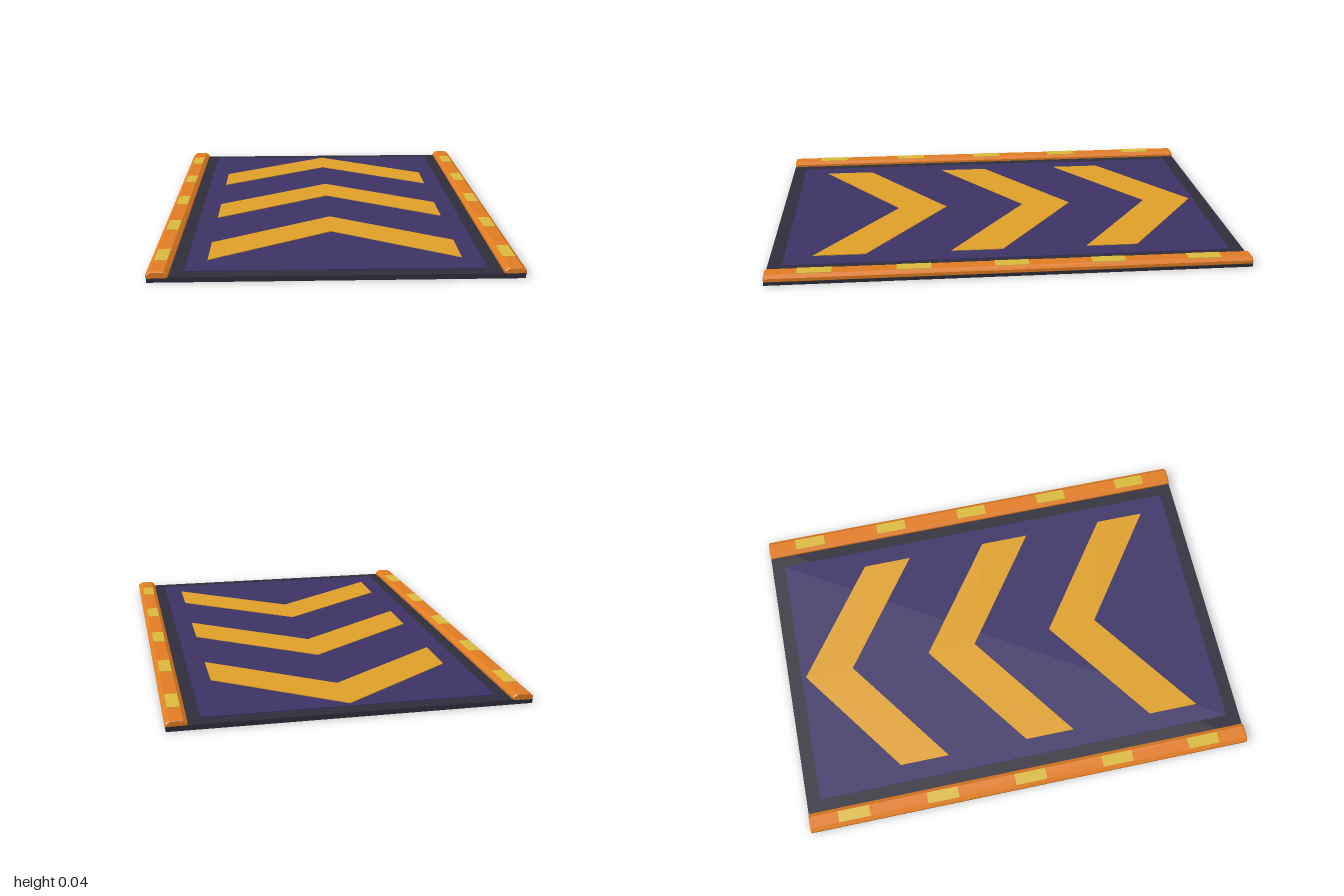
import * as THREE from 'three';

const mat = (color) => new THREE.MeshStandardMaterial({ color, flatShading: true });

export function createModel() {
  const group = new THREE.Group();
  const dark = mat(0x2f2d3a), purple = mat(0x3d3366), amber = mat(0xdd9f28);
  const orange = mat(0xe07c22), yellow = mat(0xd8b83c);

  const add = (name, geometry, material, x = 0, y = 0, z = 0) => {
    const mesh = new THREE.Mesh(geometry, material);
    mesh.name = name;
    mesh.position.set(x, y, z);
    group.add(mesh);
    return mesh;
  };
  const polygon = (points) => new THREE.Shape(points.map(([x, y]) => new THREE.Vector2(x, y)));

  // Flat base slab and inset panel
  add('base', new THREE.BoxGeometry(1.43, 0.02, 2), dark, 0, 0.01, 0);
  add('panel', new THREE.BoxGeometry(1.16, 0.008, 1.88), purple, 0, 0.02, 0);

  // Three chevrons pointing to the back
  const chevron = new THREE.ExtrudeGeometry(polygon([
    [-0.5, -0.36], [-0.5, -0.58], [0, -0.22], [0.5, -0.58], [0.5, -0.36], [0, 0],
  ]), { depth: 0.006, bevelEnabled: false });
  chevron.rotateX(-Math.PI / 2);
  for (let i = 0; i < 3; i++) add('chevron' + (i + 1), chevron, amber, 0, 0.021, -0.92 + i * 0.58);

  // Side rails with chamfered long edges
  const rail = new THREE.ExtrudeGeometry(polygon([
    [-0.036, 0.012], [0.036, 0.012], [0.042, 0.017], [0.042, 0.03],
    [0.026, 0.042], [-0.026, 0.042], [-0.042, 0.03], [-0.042, 0.017],
  ]), { depth: 1.99, bevelEnabled: true, bevelThickness: 0.005, bevelSize: 0.004, bevelOffset: -0.004, bevelSegments: 1 });
  rail.translate(0, 0, -0.995);

  // Marker lights set into each rail
  const light = new THREE.BoxGeometry(0.05, 0.02, 0.14);
  for (const [side, s] of [['left', 1], ['right', -1]]) {
    add(side + 'Rail', rail, orange, s * 0.676, 0, 0);
    for (let i = 0; i < 5; i++) add(side + 'Light' + (i + 1), light, yellow, s * 0.676, 0.034, -0.8 + i * 0.4);
  }
  return group;
}
